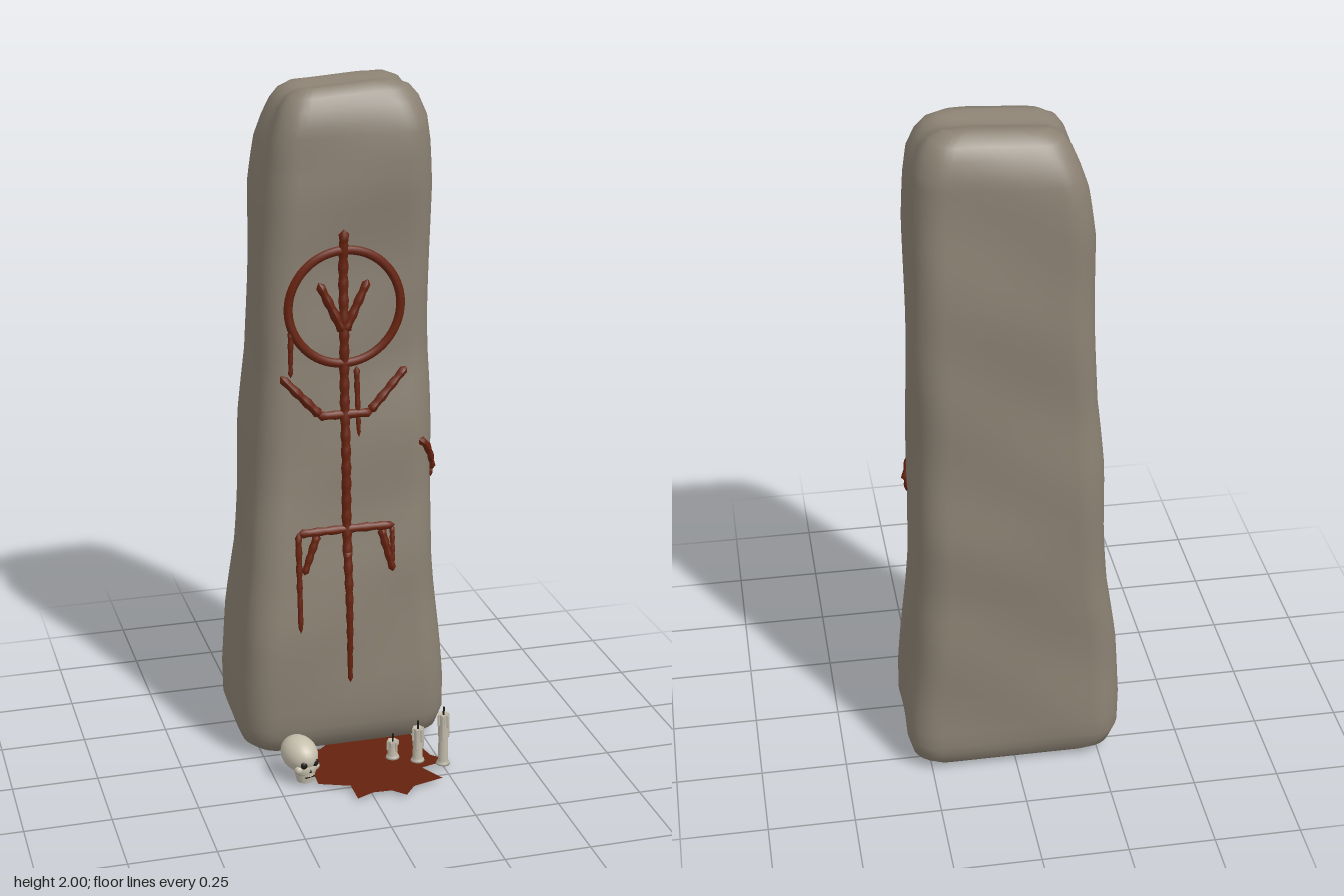
import * as THREE from 'three';

const mat = (name, color, side = THREE.FrontSide) => {
  const m = new THREE.MeshStandardMaterial({ color, side });
  m.name = name;
  return m;
};

// Stone sections: y, left x, right x, back z, front z, corner radius
const SECTIONS = [
  [0.0, -0.23, 0.24, -0.27, -0.03, 0.06], [0.012, -0.262, 0.268, -0.305, 0.0, 0.07],
  [0.04, -0.295, 0.297, -0.332, 0.03, 0.08], [0.1, -0.314, 0.314, -0.35, 0.05, 0.09],
  [0.2, -0.315, 0.311, -0.348, 0.053, 0.09], [0.4, -0.3, 0.297, -0.343, 0.048, 0.09],
  [0.6, -0.274, 0.282, -0.34, 0.036, 0.09], [0.8, -0.258, 0.278, -0.348, 0.012, 0.085],
  [1.0, -0.25, 0.277, -0.345, 0.0, 0.085], [1.2, -0.23, 0.277, -0.34, -0.018, 0.085],
  [1.5, -0.22, 0.277, -0.335, -0.018, 0.085], [1.7, -0.213, 0.275, -0.325, -0.006, 0.085],
  [1.83, -0.195, 0.268, -0.318, -0.01, 0.08], [1.9, -0.175, 0.26, -0.312, -0.016, 0.075],
  [1.95, -0.157, 0.24, -0.298, -0.03, 0.07], [1.98, -0.135, 0.215, -0.28, -0.05, 0.06],
  [1.995, -0.105, 0.18, -0.255, -0.075, 0.05],
];

function sectionAt(y) {
  let i = 0;
  while (i < SECTIONS.length - 2 && SECTIONS[i + 1][0] < y) i++;
  const a = SECTIONS[i], b = SECTIONS[i + 1];
  const t = THREE.MathUtils.clamp((y - a[0]) / (b[0] - a[0]), 0, 1);
  return a.map((v, k) => v + (b[k] - v) * t);
}

const bump = (x, y) => 0.004 * Math.sin(7 * y + 6 * x) + 0.003 * Math.sin(16 * y - 11 * x);

// Depth of the stone's front face, including its rounded corners
function frontZ(x, y) {
  const [, l, r, , f, c] = sectionAt(y);
  const d = Math.min(c, Math.max(0, l + c - x, x - (r - c)));
  return f - c + Math.sqrt(c * c - d * d) + bump(x, y);
}

// Rounded rectangle outline, running front right, back right, back left, front left
function outline([, l, r, b, f, c]) {
  const pts = [], corners = [[r - c, f - c], [r - c, b + c], [l + c, b + c], [l + c, f - c]];
  corners.forEach(([cx, cz], k) => {
    for (let i = 0; i <= 6; i++) {
      const a = Math.PI / 2 * (1 - k - i / 6);
      pts.push([cx + c * Math.cos(a), cz + c * Math.sin(a)]);
    }
    const [nx, nz] = corners[(k + 1) % 4], a = -Math.PI / 2 * k;
    for (let i = 1; i < 6; i++) {
      const t = i / 6;
      pts.push([cx + (nx - cx) * t + c * Math.cos(a), cz + (nz - cz) * t + c * Math.sin(a)]);
    }
  });
  return pts;
}

function stoneGeometry() {
  const pos = [], index = [], rings = [];
  const first = SECTIONS[0], last = SECTIONS[SECTIONS.length - 1];
  for (const s of [0.02, 0.5]) rings.push([first, s]);
  SECTIONS.forEach((sec, i) => {
    rings.push([sec, 1]);
    if (i < SECTIONS.length - 1) {
      const n = Math.ceil((SECTIONS[i + 1][0] - sec[0]) / 0.06);
      for (let k = 1; k < n; k++) rings.push([sectionAt(sec[0] + (SECTIONS[i + 1][0] - sec[0]) * k / n), 1]);
    }
  });
  for (const s of [0.75, 0.5, 0.25, 0.01]) rings.push([last, s]);
  let n = 0;
  for (const [sec, s] of rings) {
    const mx = (sec[1] + sec[2]) / 2, mz = (sec[3] + sec[4]) / 2, pts = outline(sec);
    n = pts.length;
    for (const [px, pz] of pts) {
      const x = mx + (px - mx) * s, z = mz + (pz - mz) * s, y = sec[0];
      const top = THREE.MathUtils.smoothstep(y, 1.8, 1.99);
      // sloping, slightly saddled crown
      const dy = top * (-0.004 + 0.07 * Math.min(0, x - 0.1) + 0.008 * Math.cos((z + 0.09) * 45));
      pos.push(x + 0.003 * Math.sin(18 * z + 9 * y), y + dy, z + bump(x, y) * Math.min(1, y * 10));
    }
  }
  for (let r = 0; r < rings.length - 1; r++) {
    for (let i = 0; i < n; i++) {
      const a = r * n + i, b = r * n + (i + 1) % n;
      index.push(a, b, a + n, b, b + n, a + n);
    }
  }
  const g = new THREE.BufferGeometry();
  g.setAttribute('position', new THREE.Float32BufferAttribute(pos, 3));
  g.setIndex(index);
  g.computeVertexNormals();
  return g;
}

// Uneven painted tube whose radius runs from r0 to r1 and closes at both ends
function strokeGeometry(points, r0, r1, closed = false) {
  const curve = new THREE.CatmullRomCurve3(points, closed);
  const n = Math.max(12, Math.round(curve.getLength() / 0.015)), sides = 8;
  const g = new THREE.TubeGeometry(curve, n, 1, sides, closed), p = g.attributes.position;
  for (let i = 0; i <= n; i++) {
    const c = curve.getPointAt(i / n);
    const end = !closed && (i === 0 || i === n) ? 0 : 1;
    const r = end * (r0 + (r1 - r0) * i / n) * (closed ? 1 : 1 + 0.12 * Math.sin(i * 1.9));
    for (let j = 0; j <= sides; j++) {
      const k = i * (sides + 1) + j, v = new THREE.Vector3().fromBufferAttribute(p, k).sub(c);
      v.multiplyScalar(r).add(c);
      p.setXYZ(k, v.x, v.y, v.z);
    }
  }
  g.computeVertexNormals();
  return g;
}

export function createModel() {
  const model = new THREE.Group();
  const stone = mat('stone', 0x8a8072), blood = mat('dried blood', 0x66220e, THREE.DoubleSide);
  const bone = mat('bone', 0xc6bfad), wax = mat('wax', 0xc0baaa), dark = mat('dark', 0x1c1713);
  const add = (parent, name, geo, m, x = 0, y = 0, z = 0) => {
    const mesh = new THREE.Mesh(geo, m);
    mesh.name = name;
    mesh.position.set(x, y, z);
    parent.add(mesh);
    return mesh;
  };

  add(model, 'standingStone', stoneGeometry(), stone);

  // Painted sign laid over the front face
  const sign = new THREE.Group();
  sign.name = 'paintedSign';
  model.add(sign);
  const on = (x, y) => new THREE.Vector3(x, y, frontZ(x, y) + 0.002);
  const stroke = (name, x0, y0, x1, y1, r0, r1) => {
    const n = Math.max(2, Math.ceil(Math.hypot(x1 - x0, y1 - y0) / 0.05)), pts = [];
    for (let i = 0; i <= n; i++) pts.push(on(x0 + (x1 - x0) * i / n, y0 + (y1 - y0) * i / n));
    add(sign, name, strokeGeometry(pts, r0, r1), blood);
  };
  stroke('staff', 0.003, 1.6, 0.003, 0.62, 0.014, 0.014);
  stroke('staffDrip', 0.003, 0.66, 0.004, 0.24, 0.014, 0.007);
  const ring = [];
  for (let i = 0; i < 32; i++) {
    const a = i / 32 * Math.PI * 2;
    ring.push(on(0.006 + 0.164 * Math.cos(a), 1.375 + 0.164 * Math.sin(a)));
  }
  add(sign, 'circle', strokeGeometry(ring, 0.013, 0.013, true), blood);
  for (const s of [-1, 1]) {
    stroke('innerBranch', 0.003, 1.3, 0.003 + s * 0.073, 1.45, 0.015, 0.012);
    stroke('arm', 0.003 + s * 0.07, 1.06, 0.003 + s * 0.187, 1.185, 0.014, 0.012);
  }
  stroke('armBar', -0.08, 1.06, 0.085, 1.06, 0.013, 0.013);
  stroke('crossBar', -0.145, 0.715, 0.148, 0.715, 0.013, 0.013);
  stroke('leftFoot', 0.105, 0.71, 0.138, 0.575, 0.013, 0.01);
  stroke('leftFootDrip', 0.138, 0.715, 0.138, 0.6, 0.008, 0.006);
  stroke('rightFoot', -0.085, 0.71, -0.13, 0.59, 0.013, 0.01);
  stroke('drip', -0.143, 0.72, -0.146, 0.415, 0.01, 0.007);
  stroke('drip', -0.152, 1.32, -0.155, 1.18, 0.009, 0.006);
  stroke('drip', 0.04, 1.2, 0.042, 0.99, 0.009, 0.006);

  // Smear wrapping round the left front corner
  const smear = [[0.222, 0.965, 0], [0.245, 0.945, -0.012], [0.262, 0.91, -0.03], [0.277, 0.85, -0.06]];
  add(sign, 'cornerSmear', strokeGeometry(smear.map(p => new THREE.Vector3(...p)), 0.012, 0.017), blood);
  add(sign, 'smearBlot', new THREE.SphereGeometry(0.022, 12, 8), blood, 0.274, 0.845, -0.06).scale.set(0.5, 1, 1);

  // Ragged pool on the ground, reaching under the stone
  const edge = [[0.21, 0.05], [0.227, 0.14], [0.27, 0.185], [0.18, 0.21], [0.22, 0.285], [0.125, 0.31],
    [0.09, 0.354], [0.055, 0.318], [0, 0.315], [-0.052, 0.338], [-0.052, 0.26], [-0.14, 0.225],
    [-0.135, 0.1], [-0.17, 0.03], [-0.08, 0.02], [0, -0.06], [0.08, 0], [0.21, -0.1]];
  const pool = new THREE.ShapeGeometry(new THREE.Shape(edge.map(([x, z]) => new THREE.Vector2(x, -z))));
  pool.rotateX(-Math.PI / 2);
  add(model, 'bloodPool', pool, blood, 0, 0.011, 0);

  // Candles with a hollowed top, wax runs and a wick
  [[0.115, 0.125, 0.068], [0.181, 0.163, 0.12], [0.248, 0.2, 0.175]].forEach(([x, z, top], c) => {
    const candle = new THREE.Group();
    candle.name = 'candle';
    candle.position.set(x, 0.011, z);
    model.add(candle);
    const h = top - 0.011;
    const profile = [[0, 0], [0.021, 0], [0.019, 0.006], [0.015, 0.012], [0.014, h - 0.006],
      [0.016, h - 0.002], [0.014, h], [0.009, h - 0.004], [0, h - 0.005]];
    add(candle, 'waxBody', new THREE.LatheGeometry(profile.map(p => new THREE.Vector2(...p)), 16), wax);
    for (let i = 0; i < 6; i++) {
      const a = i * 1.05 + c, len = h * (0.2 + 0.12 * ((i * 2 + c) % 4));
      add(candle, 'waxRun', new THREE.CapsuleGeometry(0.004, len, 3, 6), wax,
        0.015 * Math.cos(a), h - 0.004 - len / 2, 0.015 * Math.sin(a));
    }
    add(candle, 'wick', new THREE.CylinderGeometry(0.003, 0.003, 0.026, 6), dark, 0, h + 0.008, 0);
  });

  // Skull, turned slightly to its left
  const skull = new THREE.Group();
  skull.name = 'skull';
  skull.position.set(-0.18, 0.011, 0.16);
  skull.rotation.y = 0.3;
  model.add(skull);
  add(skull, 'cranium', new THREE.SphereGeometry(1, 24, 16), bone, 0, 0.074, 0).scale.set(0.05, 0.052, 0.067);
  add(skull, 'face', new THREE.SphereGeometry(1, 16, 12), bone, 0, 0.045, 0.033).scale.set(0.036, 0.036, 0.031);
  add(skull, 'jaw', new THREE.CylinderGeometry(0.031, 0.025, 0.028, 16), bone, 0, 0.015, 0.031);
  for (const s of [-1, 1]) {
    add(skull, 'cheekbone', new THREE.SphereGeometry(0.013, 10, 8), bone, s * 0.028, 0.045, 0.043);
    add(skull, 'eyeSocket', new THREE.SphereGeometry(0.012, 12, 8), dark, s * 0.018, 0.064, 0.058).scale.z = 0.6;
  }
  const nose = add(skull, 'noseHole', new THREE.ConeGeometry(0.007, 0.014, 3), dark, 0, 0.045, 0.063);
  nose.scale.z = 0.5;
  add(skull, 'mouthGap', new THREE.BoxGeometry(0.03, 0.003, 0.008), dark, 0, 0.022, 0.057);
  for (let i = -2; i <= 2; i++) {
    add(skull, 'tooth', new THREE.BoxGeometry(0.005, 0.008, 0.006), bone, i * 0.006, 0.028, 0.06 - 0.0012 * i * i);
  }
  return model;
}
